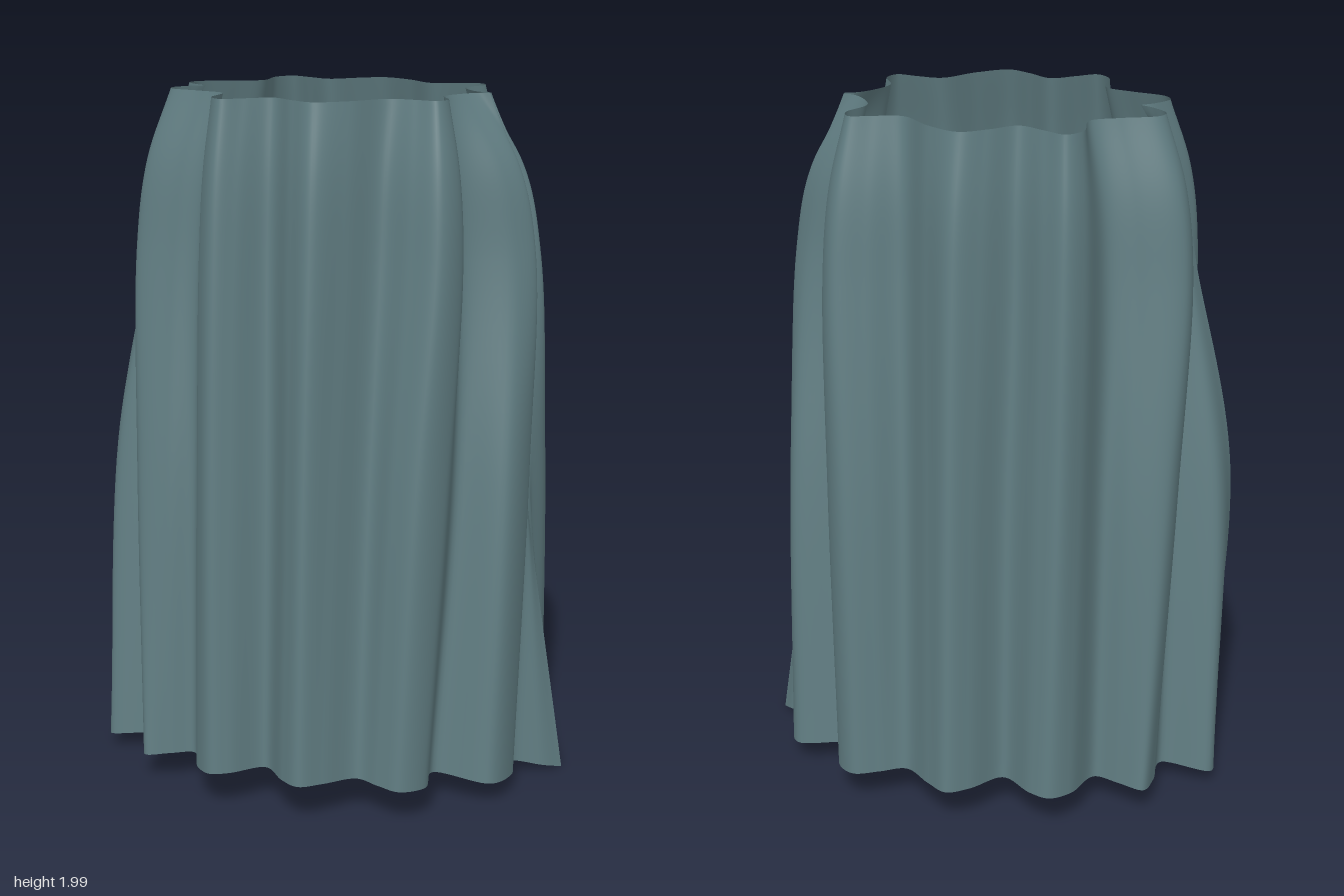
import * as THREE from 'three';

// Half outlines (x, z) from the left seam to the right seam, waist to hem.
const WAIST = [
  [0.43, 0], [0.43, 0.003], [0.43, 0.006], [0.4, 0.015], [0.365, 0.05], [0.33, 0.13], [0.365, 0.22],
  [0.345, 0.265], [0.28, 0.25], [0.205, 0.24], [0.12, 0.33], [0.03, 0.385], [-0.04, 0.345], [-0.11, 0.29],
  [-0.18, 0.33], [-0.24, 0.365], [-0.28, 0.32], [-0.285, 0.2], [-0.36, 0.16], [-0.46, 0.12], [-0.475, 0.08],
  [-0.44, 0.03], [-0.415, 0.01], [-0.4, 0],
];
const HIP = [
  [0.48, 0], [0.5, 0.005], [0.54, 0.01], [0.575, 0.03], [0.53, 0.09], [0.39, 0.16], [0.425, 0.28],
  [0.38, 0.36], [0.29, 0.34], [0.2, 0.305], [0.12, 0.39], [0.04, 0.465], [-0.03, 0.42], [-0.11, 0.345],
  [-0.19, 0.41], [-0.25, 0.44], [-0.3, 0.39], [-0.345, 0.26], [-0.43, 0.24], [-0.55, 0.2], [-0.565, 0.13],
  [-0.53, 0.06], [-0.555, 0.03], [-0.57, 0],
];
const KNEE = [
  [0.545, 0], [0.555, 0.015], [0.565, 0.035], [0.585, 0.1], [0.55, 0.21], [0.405, 0.22], [0.41, 0.36],
  [0.35, 0.44], [0.27, 0.42], [0.19, 0.375], [0.11, 0.46], [0.04, 0.525], [-0.02, 0.485], [-0.1, 0.4],
  [-0.19, 0.47], [-0.25, 0.495], [-0.3, 0.44], [-0.35, 0.32], [-0.43, 0.33], [-0.525, 0.31], [-0.55, 0.23],
  [-0.53, 0.13], [-0.655, 0.11], [-0.69, 0],
];
const HEM = [
  [0.685, 0], [0.64, 0.05], [0.555, 0.09], [0.58, 0.2], [0.54, 0.315], [0.37, 0.31], [0.38, 0.445],
  [0.32, 0.512], [0.25, 0.49], [0.18, 0.46], [0.1, 0.54], [0.04, 0.588], [-0.02, 0.55], [-0.1, 0.46],
  [-0.185, 0.535], [-0.24, 0.555], [-0.295, 0.505], [-0.35, 0.38], [-0.42, 0.4], [-0.49, 0.42], [-0.515, 0.34],
  [-0.53, 0.22], [-0.675, 0.22], [-0.645, 0],
];
const ACROSS = 220, DOWN = 56;

// The waist swells quickly into the hips.
const YOKE = WAIST.map(([x, z], i) => [
  THREE.MathUtils.lerp(x, HIP[i][0], 0.7), THREE.MathUtils.lerp(z, HIP[i][1], 0.58),
]);

// The hem is an arch that dips to a point at each side seam.
const hemHeight = (x, z) => 0.075 + 0.1 * z - 0.09 * x * x - 0.02 * Math.max(0, 1 - z / 0.1);

// Smooth curve through one outline at a given height.
function outline(points, height) {
  return new THREE.CatmullRomCurve3(points.map(([x, z]) => new THREE.Vector3(x, height(x, z), z)));
}

// One pleated panel, side = 1 for the front and -1 for the back, which is a little wider.
function makePanel(side, material) {
  const rings = [
    outline(WAIST, () => 2), outline(YOKE, () => 1.8), outline(HIP, () => 1.55),
    outline(KNEE, () => 0.95), outline(HEM, hemHeight),
  ];
  const position = [], index = [];
  for (let i = 0; i <= ACROSS; i++) {
    const fall = new THREE.CatmullRomCurve3(rings.map((ring) => ring.getPoint(i / ACROSS)));
    for (let j = 0; j <= DOWN; j++) {
      const p = fall.getPoint(j / DOWN);
      position.push(p.x * (1 - side * 0.07 * p.z), p.y, p.z * side);
      if (i === ACROSS || j === DOWN) continue;
      const a = i * (DOWN + 1) + j, b = a + DOWN + 1;
      if (side > 0) index.push(a, b, a + 1, b, b + 1, a + 1);
      else index.push(a, a + 1, b, b, a + 1, b + 1);
    }
  }
  const geometry = new THREE.BufferGeometry();
  geometry.setAttribute('position', new THREE.Float32BufferAttribute(position, 3));
  geometry.setIndex(index);
  geometry.computeVertexNormals();
  const mesh = new THREE.Mesh(geometry, material);
  mesh.name = side > 0 ? 'frontPanel' : 'backPanel';
  return mesh;
}

export function createModel() {
  const cloth = new THREE.MeshStandardMaterial({ color: 0x5f7b80, side: THREE.DoubleSide });
  cloth.name = 'greyTealCloth';
  const skirt = new THREE.Group();
  skirt.name = 'pleatedSkirt';
  skirt.add(makePanel(1, cloth), makePanel(-1, cloth));
  // Rest the lowest seam tip on the ground.
  skirt.position.y = -new THREE.Box3().setFromObject(skirt).min.y;
  return skirt;
}
